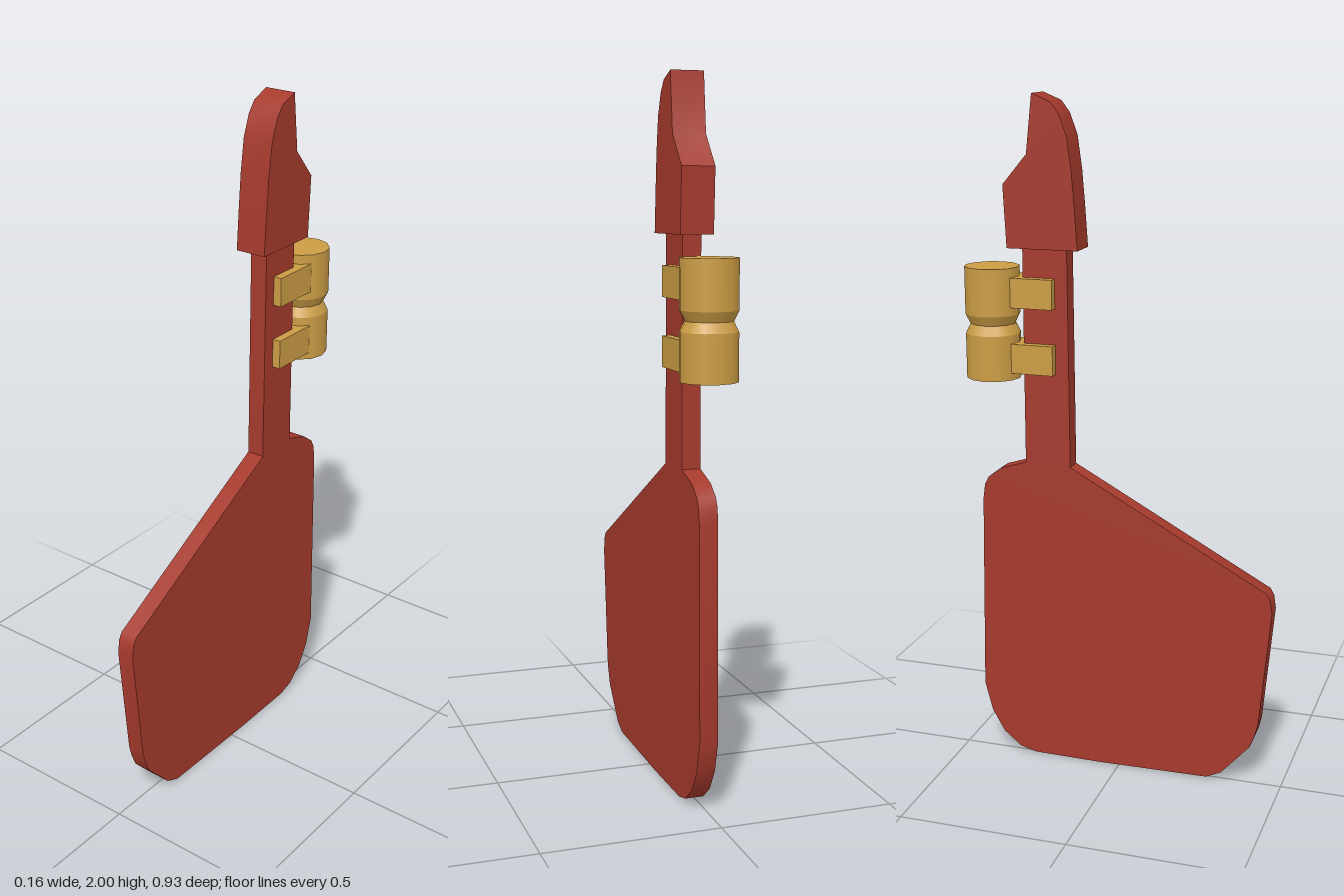
import * as THREE from 'three';
import { toCreasedNormals } from 'three/addons/utils/BufferGeometryUtils.js';

const red = new THREE.MeshStandardMaterial({ color: 0xa63a2d, name: 'red paint' });
const brass = new THREE.MeshStandardMaterial({ color: 0xcc9d45, name: 'brass', side: THREE.DoubleSide });

// Side outline given as [z, y] pairs, extruded across x from x0 to x1
function slab(name, points, x0, x1) {
  const shape = new THREE.Shape(points.map(([z, y]) => new THREE.Vector2(z, y)));
  let geo = new THREE.ExtrudeGeometry(shape, { depth: x1 - x0, bevelEnabled: false });
  geo.rotateY(-Math.PI / 2);
  geo.translate(x1, 0, 0);
  geo = toCreasedNormals(geo, 0.6);
  const mesh = new THREE.Mesh(geo, red);
  mesh.name = name;
  return mesh;
}

export function createModel() {
  const model = new THREE.Group();
  model.name = 'rudder';

  // Flat blade with rounded corners
  model.add(slab('blade', [
    [-0.148, 0.935], [0.445, 0.61], [0.456, 0.59], [0.462, 0.55], [0.43, 0.2], [0.422, 0.165],
    [0.405, 0.12], [0.32, 0.025], [0.275, 0.004], [-0.06, 0], [-0.27, 0.003],
    [-0.32, 0.017], [-0.372, 0.06], [-0.41, 0.125], [-0.434, 0.215], [-0.424, 0.815],
    [-0.418, 0.86], [-0.405, 0.885], [-0.365, 0.915], [-0.286, 0.94],
  ], -0.014, 0.039));

  // Narrow stock between blade and head
  model.add(slab('stock', [
    [-0.148, 0.93], [-0.286, 0.935], [-0.286, 1.575], [-0.153, 1.575],
  ], -0.014, 0.039));

  // Thicker rudder head
  model.add(slab('head', [
    [-0.114, 1.572], [-0.122, 1.69], [-0.13, 1.79], [-0.143, 1.885], [-0.165, 1.945],
    [-0.19, 1.978], [-0.244, 2.0], [-0.262, 1.835], [-0.334, 1.75], [-0.325, 1.572],
  ], -0.035, 0.059));

  // Hollow hinge barrel with a pinched waist
  const hinge = new THREE.Group();
  hinge.name = 'hinge';
  hinge.position.z = -0.385;
  const R = 0.08, W = 0.066;
  const sections = [
    ['lowerBarrel', R, R, 1.19, 1.322],
    ['lowerWaist', W, R, 1.322, 1.35],
    ['upperWaist', R, W, 1.35, 1.378],
    ['upperBarrel', R, R, 1.378, 1.515],
  ];
  for (const [name, top, bottom, y0, y1] of sections) {
    const part = new THREE.Mesh(new THREE.CylinderGeometry(top, bottom, y1 - y0, 12, 1, true), brass);
    part.name = name;
    part.position.y = (y0 + y1) / 2;
    hinge.add(part);
  }
  const cap = new THREE.Mesh(new THREE.CircleGeometry(R, 12), brass);
  cap.name = 'barrelCap';
  cap.rotation.x = -Math.PI / 2;
  cap.position.y = 1.515;
  hinge.add(cap);
  model.add(hinge);

  // Straps joining the hinge to the stock
  for (const [name, y] of [['lowerStrap', 1.254], ['upperStrap', 1.445]]) {
    const strap = new THREE.Mesh(new THREE.BoxGeometry(0.104, 0.086, 0.16), brass);
    strap.name = name;
    strap.position.set(0.012, y, -0.27);
    model.add(strap);
  }
  return model;
}
